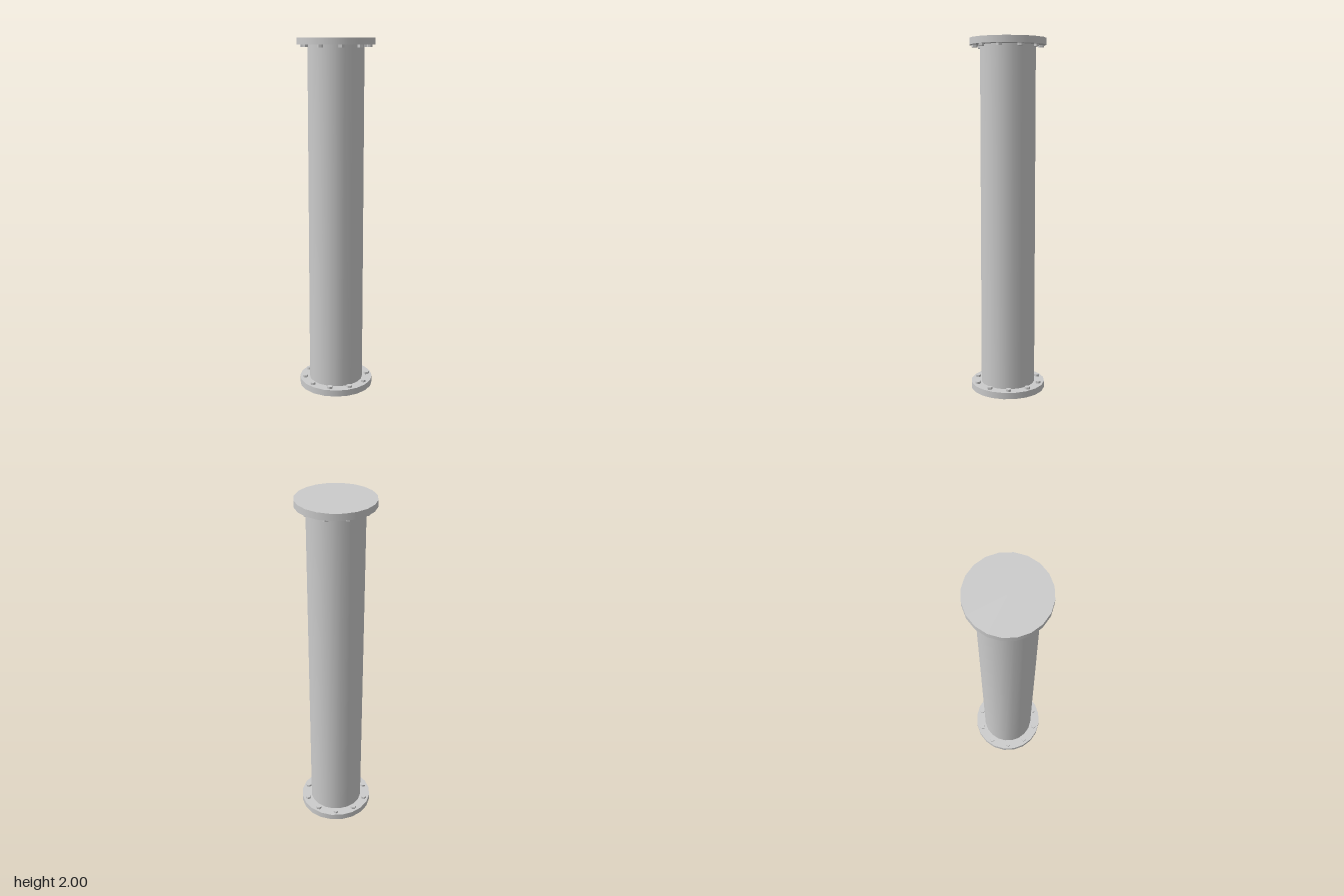
import * as THREE from 'three';

const SIDES = 20;
const FLANGE_RADIUS = 0.213;
const FLANGE_HEIGHT = 0.037;
const BOLT_COUNT = 10;
const BOLT_CIRCLE = 0.183;
const BOLT_HEIGHT = 0.014;

const material = new THREE.MeshStandardMaterial({ color: 0xcccccc });
const boltMaterial = new THREE.MeshStandardMaterial({ color: 0xcccccc, flatShading: true });

function addCylinder(parent, name, radius, height, sides, y, mat = material) {
  const mesh = new THREE.Mesh(new THREE.CylinderGeometry(radius, radius, height, sides), mat);
  mesh.name = name;
  mesh.position.y = y;
  parent.add(mesh);
  return mesh;
}

// Flange plate with its ring of bolt heads, standing on y = 0
function createFlange(name) {
  const flange = new THREE.Group();
  flange.name = name;
  addCylinder(flange, 'flangePlate', FLANGE_RADIUS, FLANGE_HEIGHT, SIDES, FLANGE_HEIGHT / 2);
  for (let i = 0; i < BOLT_COUNT; i++) {
    const angle = THREE.MathUtils.degToRad(8) + (i / BOLT_COUNT) * Math.PI * 2;
    const bolt = addCylinder(flange, 'bolt', 0.016, BOLT_HEIGHT, 6,
      FLANGE_HEIGHT + BOLT_HEIGHT / 2 - 0.001, boltMaterial);
    bolt.position.x = Math.sin(angle) * BOLT_CIRCLE;
    bolt.position.z = Math.cos(angle) * BOLT_CIRCLE;
    bolt.rotation.y = angle;
  }
  return flange;
}

export function createModel() {
  const model = new THREE.Group();
  model.name = 'flangedPipe';

  // Pipe between the two flanges
  addCylinder(model, 'pipe', 0.155, 2 - FLANGE_HEIGHT, SIDES, 1);

  // Bottom flange, and the same flange turned over for the top
  model.add(createFlange('bottomFlange'));
  const top = createFlange('topFlange');
  top.position.y = 2;
  top.rotation.z = Math.PI;
  model.add(top);

  return model;
}
